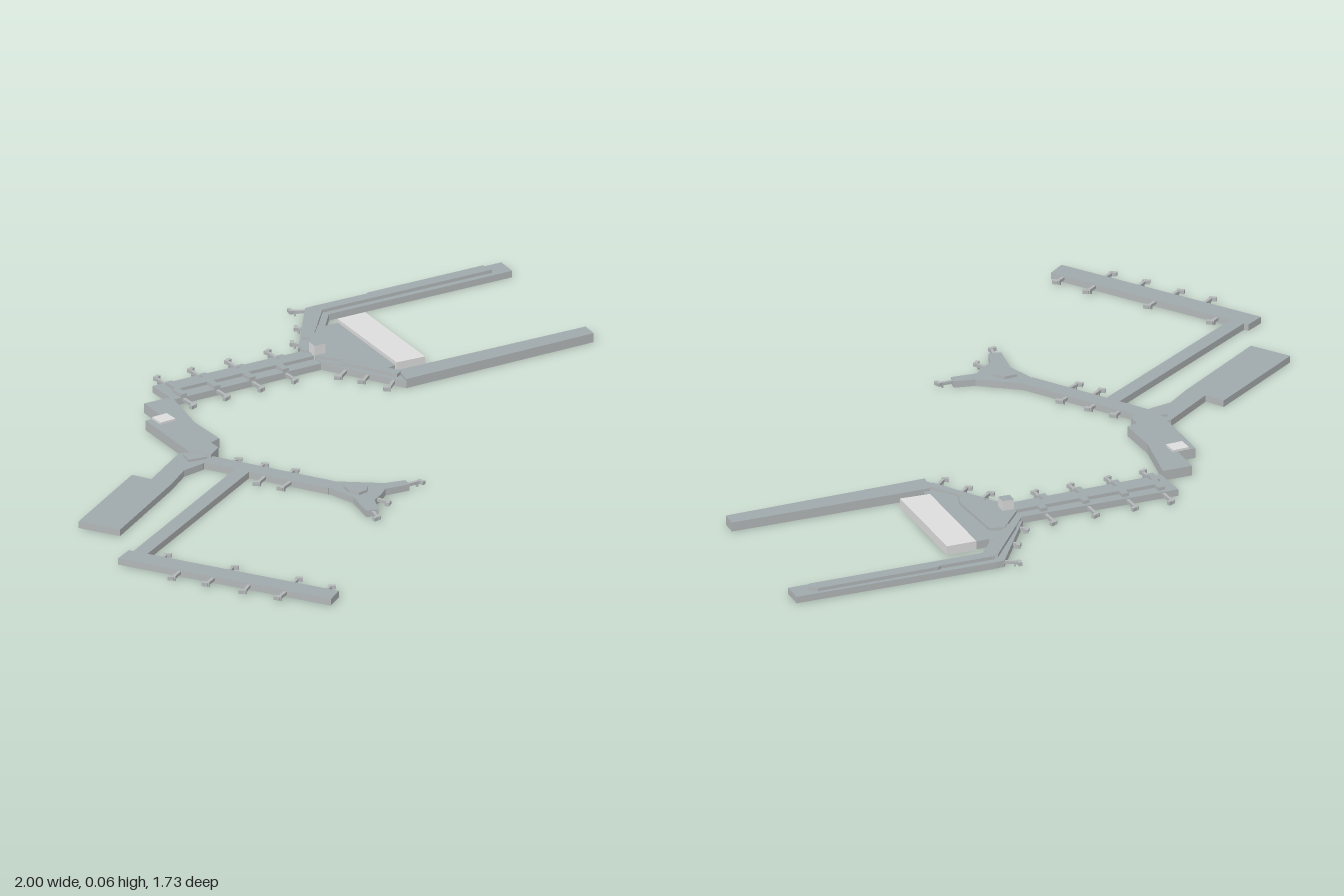
import * as THREE from 'three';

const mat = (name, color) => Object.assign(new THREE.MeshStandardMaterial({ color }), { name });

export function createModel() {
  const roof = mat('roof grey', 0x9fa8ac);
  const wall = mat('wall grey', 0xb2b6b6);
  const pale = mat('pale grey', 0xdcdcdc);
  const root = new THREE.Group();
  root.name = 'airportTerminal';

  // Footprint of [x, z] corners raised from y0 to y1
  function slab(name, pts, y0, y1, mats = [roof, wall]) {
    const shape = new THREE.Shape(pts.map(([x, z]) => new THREE.Vector2(x, -z)));
    const geo = new THREE.ExtrudeGeometry(shape, { depth: y1 - y0, bevelEnabled: false });
    geo.rotateX(-Math.PI / 2).translate(0, y0, 0);
    const mesh = new THREE.Mesh(geo, mats);
    mesh.name = name;
    root.add(mesh);
  }

  // Straight wing of given width between two [x, z] points
  function wing(name, [ax, az], [bx, bz], width, y0, y1, mats) {
    const l = Math.hypot(bx - ax, bz - az);
    const nx = -(bz - az) / l * width / 2, nz = (bx - ax) / l * width / 2;
    slab(name, [[ax + nx, az + nz], [bx + nx, bz + nz], [bx - nx, bz - nz], [ax - nx, az - nz]], y0, y1, mats);
  }

  // Boarding bridge: arm, angled cab and a support leg
  function jetBridge([ax, az], [bx, bz]) {
    const g = new THREE.Group();
    g.name = 'jetBridge';
    const dx = bx - ax, dz = bz - az, l = Math.hypot(dx, dz);
    const add = (name, w, h, d, x, y, z, turn = 0) => {
      const m = new THREE.Mesh(new THREE.BoxGeometry(w, h, d), wall);
      m.name = name;
      m.position.set(x, y, z);
      m.rotation.y = turn;
      g.add(m);
    };
    add('bridgeArm', l + 0.01, 0.009, 0.009, l / 2, 0.0125, 0);
    add('bridgeCab', 0.011, 0.011, 0.022, l, 0.0125, 0.004, 0.35);
    add('bridgeLeg', 0.005, 0.009, 0.007, l * 0.75, 0.0045, 0);
    g.position.set(ax, 0, az);
    g.rotation.y = -Math.atan2(dz, dx);
    root.add(g);
  }

  // North-east terminal: hall, forecourt building, arms and piers
  slab('mainHall', [[0.2, -0.61], [0.31, -0.74], [0.345, -0.7], [0.385, -0.7], [0.365, -0.37],
    [0.32, -0.36], [0.2, -0.5]], 0, 0.024);
  slab('hallUpperRoof', [[0.2, -0.58], [0.28, -0.665], [0.32, -0.65], [0.32, -0.46], [0.3, -0.41],
    [0.2, -0.53]], 0.024, 0.032);
  slab('forecourtHall', [[0.39, -0.71], [0.48, -0.705], [0.46, -0.36], [0.37, -0.37]], 0.003, 0.031, [pale, pale]);
  slab('northArm', [[0.2, -0.62], [0.365, -0.84], [0.39, -0.84], [0.4, -0.77], [0.29, -0.64]], 0, 0.02);
  slab('southArm', [[0.2, -0.5], [0.26, -0.52], [0.37, -0.33], [0.335, -0.265]], 0, 0.02);
  wing('northArmRidge', [0.25, -0.65], [0.385, -0.805], 0.03, 0.02, 0.03);
  wing('southArmRidge', [0.25, -0.47], [0.34, -0.31], 0.025, 0.02, 0.03);
  slab('northPier', [[0.39, -0.84], [1, -0.8], [0.995, -0.735], [0.39, -0.77]], 0, 0.02);
  slab('northPierRidge', [[0.385, -0.82], [0.55, -0.81], [0.56, -0.815], [0.93, -0.793], [0.95, -0.775],
    [0.94, -0.755], [0.92, -0.756], [0.385, -0.787]], 0.02, 0.03);
  slab('southPier', [[0.35, -0.33], [0.955, -0.29], [0.95, -0.24], [0.335, -0.265]], 0, 0.028);

  // Control tower
  wing('controlTower', [0.2, -0.55], [0.235, -0.547], 0.034, 0, 0.062, [roof, pale]);

  // Long concourse with a raised spine and cross ridges
  slab('concourse', [[-0.285, -0.63], [0.2, -0.6], [0.2, -0.5], [-0.285, -0.52]], 0, 0.02);
  wing('concourseSpine', [-0.25, -0.575], [0.21, -0.552], 0.034, 0.02, 0.03);
  [[-0.24, -0.25], [-0.13, -0.14], [-0.01, -0.025], [0.12, 0.085]].forEach(([n, s], i) => {
    const zn = -0.615 + i * 0.007, zs = -0.518 + i * 0.004;
    wing('northCrossRidge', [n, zn], [n, zn + 0.03], 0.02, 0.02, 0.03);
    wing('southCrossRidge', [s, zs - 0.045], [s, zs], 0.02, 0.02, 0.03);
    jetBridge([n, zn - 0.01], [n, zn - 0.068]);
    jetBridge([s, zs], [s, zs + 0.052]);
  });

  // Connector building with a small roof house
  slab('connector', [[-0.38, -0.525], [-0.29, -0.52], [-0.33, -0.34], [-0.33, -0.21], [-0.365, -0.2],
    [-0.365, -0.16], [-0.41, -0.13], [-0.45, -0.19], [-0.44, -0.425], [-0.385, -0.42]], 0, 0.03);
  wing('roofHouse', [-0.42, -0.4], [-0.37, -0.4], 0.045, 0.03, 0.037, [pale, pale]);

  // South-west hall, link bridge and piers
  slab('westHall', [[-0.66, -0.155], [-0.63, -0.1], [-0.47, -0.205], [-0.44, -0.2], [-0.4, -0.14],
    [-0.45, -0.11], [-0.52, -0.1], [-0.595, -0.045], [-0.89, 0.14], [-0.96, 0.03]], 0, 0.02);
  wing('hubRoof', [-0.475, -0.16], [-0.42, -0.15], 0.04, 0.02, 0.027);
  wing('starPierStem', [-0.43, -0.14], [-0.22, 0.21], 0.05, 0, 0.02);
  slab('starPier', [[-0.245, 0.2], [-0.2, 0.195], [-0.09, 0.28], [-0.03, 0.295], [-0.035, 0.325], [-0.11, 0.315],
    [-0.14, 0.34], [-0.175, 0.36], [-0.2, 0.42], [-0.235, 0.41], [-0.215, 0.31]], 0, 0.02);
  slab('starPierRoof', [[-0.205, 0.245], [-0.165, 0.245], [-0.145, 0.28], [-0.165, 0.305], [-0.195, 0.31],
    [-0.21, 0.28]], 0.02, 0.028);
  wing('linkBridge', [-0.375, -0.015], [-0.95, 0.315], 0.044, 0, 0.02);
  slab('westPier', [[-1, 0.3], [-0.945, 0.27], [-0.595, 0.825], [-0.645, 0.86]], 0, 0.02);

  // Boarding bridges on the remaining gates: x, z at the wall then at the cab
  [
    [0.37, -0.83, 0.325, -0.855], [0.3, -0.72, 0.275, -0.75], [0.235, -0.64, 0.21, -0.67],
    [0.25, -0.44, 0.2, -0.405], [0.28, -0.375, 0.24, -0.345], [0.315, -0.3, 0.275, -0.265],
    [-0.385, -0.07, -0.345, -0.095], [-0.34, 0, -0.3, -0.025], [-0.295, 0.08, -0.25, 0.055],
    [-0.345, 0.05, -0.385, 0.075], [-0.305, 0.12, -0.345, 0.14],
    [-0.035, 0.31, 0.01, 0.312], [-0.16, 0.345, -0.142, 0.385], [-0.215, 0.41, -0.225, 0.455],
    [-0.91, 0.37, -0.865, 0.343], [-0.8, 0.545, -0.75, 0.515], [-0.69, 0.715, -0.64, 0.68], [-0.63, 0.8, -0.59, 0.775],
    [-0.895, 0.46, -0.935, 0.485], [-0.84, 0.55, -0.875, 0.57], [-0.775, 0.64, -0.815, 0.67], [-0.72, 0.74, -0.755, 0.76],
  ].forEach(([ax, az, bx, bz]) => jetBridge([ax, az], [bx, bz]));

  return root;
}
